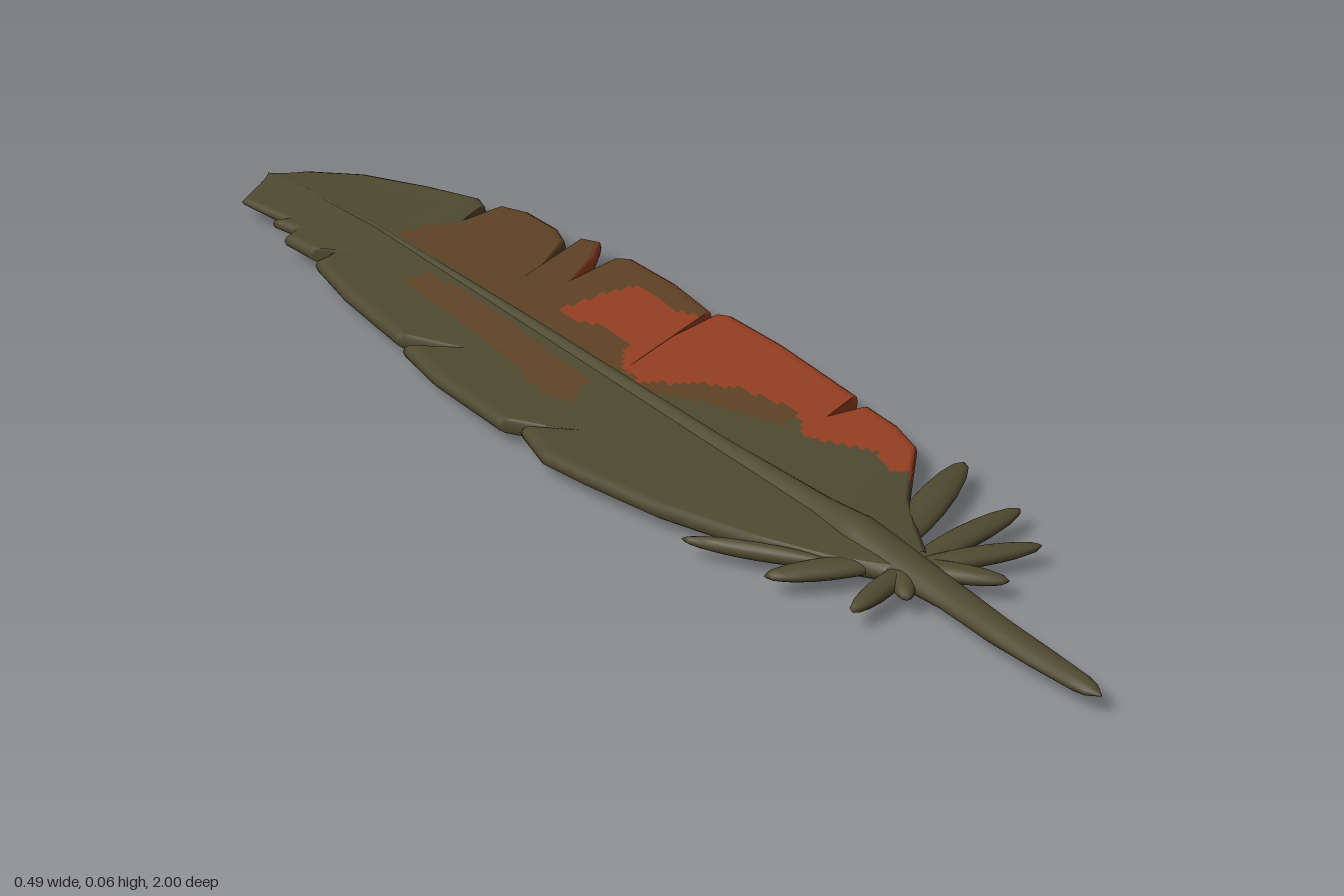
import * as THREE from 'three';

const mat = (name, color) => Object.assign(new THREE.MeshStandardMaterial({ color }), { name });

// Linear lookup in rows [key, a, b, ...] sorted by key
function lookup(rows, k) {
  let i = 1;
  while (i < rows.length - 1 && rows[i][0] < k) i++;
  const [p, q] = [rows[i - 1], rows[i]];
  const t = THREE.MathUtils.clamp((k - p[0]) / (q[0] - p[0]), 0, 1);
  return p.slice(1).map((v, n) => v + (q[n + 1] - v) * t);
}

function inside(poly, x, z) {
  let hit = false;
  for (let i = 0, j = poly.length - 1; i < poly.length; j = i++) {
    const [ax, az] = poly[i], [bx, bz] = poly[j];
    if ((az > z) !== (bz > z) && x < ((bx - ax) * (z - az)) / (bz - az) + ax) hit = !hit;
  }
  return hit;
}

// Shaft: z, centre x, half width, half height
const SHAFT = [
  [-1, -0.03, 0.002, 0.003], [-0.93, -0.02, 0.005, 0.009], [-0.7, -0.015, 0.01, 0.018],
  [-0.3, -0.02, 0.015, 0.022], [0.2, -0.03, 0.019, 0.025], [0.42, -0.03, 0.026, 0.027],
  [0.5, -0.03, 0.035, 0.032], [0.58, -0.032, 0.034, 0.024], [0.7, -0.035, 0.027, 0.016],
  [0.8, -0.043, 0.024, 0.016], [0.88, -0.045, 0.022, 0.013], [0.96, -0.046, 0.017, 0.011],
  [0.99, -0.046, 0.011, 0.007], [1, -0.046, 0.001, 0.001],
];
const MID_Y = 0.035;

// Vane edges from tip to base, with the splits between barbs (x, z)
const RIGHT_EDGE = [
  [-0.03, -1], [0.03, -0.97], [0.095, -0.9], [0.15, -0.79], [0.185, -0.7], [0.175, -0.67],
  [0.12, -0.645], [0.2, -0.65], [0.217, -0.61], [0.217, -0.53], [0.2, -0.487], [0.115, -0.43],
  [0.23, -0.475], [0.243, -0.45], [0.2, -0.41], [0.125, -0.365], [0.23, -0.385], [0.245, -0.37],
  [0.245, -0.26], [0.228, -0.15], [0.14, -0.12], [0.235, -0.135], [0.245, -0.12], [0.245, 0],
  [0.228, 0.195], [0.14, 0.215], [0.22, 0.23], [0.215, 0.3], [0.195, 0.365], [0.14, 0.42],
  [0.09, 0.47], [0.05, 0.53], [0.01, 0.6],
];
const LEFT_EDGE = [
  [-0.03, -1], [-0.12, -0.94], [-0.105, -0.83], [-0.125, -0.84], [-0.115, -0.79],
  [-0.145, -0.775], [-0.14, -0.71], [-0.115, -0.68], [-0.155, -0.67], [-0.18, -0.555],
  [-0.2, -0.38], [-0.155, -0.29], [-0.212, -0.345], [-0.23, -0.24], [-0.235, -0.07],
  [-0.205, -0.02], [-0.13, 0.08], [-0.222, -0.03], [-0.245, 0.05], [-0.235, 0.13],
  [-0.21, 0.265], [-0.16, 0.42], [-0.12, 0.51], [-0.07, 0.6],
];

// Colour patches (x, z)
const ORANGE_TOP = [
  [0.04, -0.29], [0.18, -0.29], [0.19, -0.25], [0.175, -0.18], [0.21, -0.13], [0.3, -0.13],
  [0.3, 0.2], [0.25, 0.36], [0.14, 0.43], [0.11, 0.4], [0.13, 0.35], [0.08, 0.25], [0.12, 0.18],
  [0.1, 0.08], [0.06, 0.03], [-0.01, -0.02], [0, -0.08], [0.06, -0.14], [0.06, -0.2], [0.03, -0.25],
];
const BROWN_TOP = [
  [-0.01, -0.66], [0.05, -0.66], [0.1, -0.63], [0.3, -0.67], [0.3, -0.1], [0.16, 0.1],
  [0.12, 0.2], [0.07, 0.2], [0.03, 0.08], [-0.01, 0.02],
];
const BROWN_STREAK = [
  [-0.09, -0.52], [-0.04, -0.52], [-0.045, -0.3], [-0.06, -0.08], [-0.12, -0.04], [-0.14, -0.08],
  [-0.11, -0.25],
];
const ORANGE_UNDER = [
  [0.3, -0.48], [0.3, 0.3], [0.2, 0.42], [0.12, 0.44], [0.1, 0.3], [0.04, 0.12], [-0.01, 0.02],
  [0, -0.35], [0.1, -0.42],
];
const BROWN_UNDER = [[-0.01, -0.6], [0.1, -0.66], [0.3, -0.67], [0.3, 0], [0.06, 0.2], [-0.01, 0.1]];

function colourAt(x, z, top) {
  if (inside(top ? ORANGE_TOP : ORANGE_UNDER, x, z)) return 1;
  if (inside(top ? BROWN_TOP : BROWN_UNDER, x, z)) return 2;
  return top && inside(BROWN_STREAK, x, z) ? 2 : 0;
}

// One half of the vane: slanting barb rows swept from the shaft to the edge and back underneath
function vane(edge, side, slant, thick) {
  const rows = [];
  let last = -1;
  const knots = edge.map(([x, z], i) => {
    const s = z + slant * Math.abs(x - lookup(SHAFT, z)[0]);
    if (i) last = Math.min(0.6, Math.max(last + 0.001, s));
    return [x, z, last];
  });
  for (let i = 0; i < knots.length - 1; i++) {
    const [p, q] = [knots[i], knots[i + 1]];
    const n = Math.ceil(Math.hypot(q[0] - p[0], q[1] - p[1]) / 0.011);
    for (let k = 0; k < n; k++) rows.push(p.map((v, m) => v + ((q[m] - v) * k) / n));
  }
  rows.push(knots[knots.length - 1]);

  const C = 22, pos = [], groups = [[], [], []];
  const width = 2 * (C + 2) + 1;
  for (const [ex, ez, s] of rows) {
    const rx = lookup(SHAFT, s)[0];
    const round = Math.min(0.3, 0.012 / (Math.hypot(ex - rx, ez - s) + 1e-4));
    for (let j = 0; j < width; j++) {
      const c = Math.min(j, width - 1 - j);
      const u = c <= C ? (c / C) * (1 - round) : c === C + 1 ? 1 - round * 0.3 : 1;
      const shape = c <= C ? 1 : c === C + 1 ? 0.7 : 0;
      const x = rx + (ex - rx) * u, z = s + (ez - s) * u;
      const h = (thick - 0.004 * u) * shape * Math.min(1, 0.4 + (z + 1) * 2);
      pos.push(x, MID_Y - (side > 0 ? 0.002 : 0) + (j <= C + 2 ? h : -h), z);
    }
  }
  for (let i = 0; i < rows.length - 1; i++) {
    for (let j = 0; j < width - 1; j++) {
      const a = i * width + j, b = a + 1, d = a + width, e = d + 1;
      const x = (pos[a * 3] + pos[e * 3]) / 2, z = (pos[a * 3 + 2] + pos[e * 3 + 2]) / 2;
      const g = groups[colourAt(x, z, j < C)];
      if (side > 0) g.push(a, d, e, a, e, b);
      else g.push(a, e, d, a, b, e);
    }
  }
  const geo = new THREE.BufferGeometry();
  geo.setAttribute('position', new THREE.Float32BufferAttribute(pos, 3));
  geo.setIndex(groups.flat());
  let start = 0;
  groups.forEach((g, m) => {
    if (g.length) geo.addGroup(start, g.length, m);
    start += g.length;
  });
  geo.computeVertexNormals();
  return geo;
}

// Shaft and quill: elliptical sections along z
function shaftGeometry() {
  const geo = new THREE.CylinderGeometry(1, 1, 2, 16, 100).rotateX(Math.PI / 2);
  const p = geo.attributes.position;
  for (let i = 0; i < p.count; i++) {
    const z = p.getZ(i);
    const [cx, w, h] = lookup(SHAFT, z);
    p.setXY(i, cx + p.getX(i) * w, MID_Y + p.getY(i) * h);
  }
  geo.computeVertexNormals();
  return geo;
}

// Loose downy barbs: root x, z, tip x, z, width
const BARBS = [
  [-0.03, 0.56, 0.228, 0.43, 0.056], [-0.03, 0.6, 0.2, 0.578, 0.045],
  [-0.04, 0.6, 0.155, 0.672, 0.038], [-0.04, 0.58, 0.055, 0.715, 0.038],
  [-0.1, 0.54, -0.226, 0.352, 0.026], [-0.03, 0.58, -0.2, 0.5, 0.045],
  [-0.02, 0.6, -0.165, 0.643, 0.036], [-0.03, 0.58, -0.085, 0.665, 0.035],
  [-0.03, 0.52, 0.13, 0.49, 0.06],
];

export function createModel() {
  const olive = mat('olive', 0x4f4a30);
  const orange = mat('rust orange', 0x963f22);
  const brown = mat('brown', 0x5f4325);
  const feather = new THREE.Group();
  feather.name = 'feather';
  const add = (name, geo, material) => {
    const mesh = new THREE.Mesh(geo, material);
    mesh.name = name;
    feather.add(mesh);
    return mesh;
  };
  add('leftVane', vane(RIGHT_EDGE, 1, 0.35, 0.019), [olive, orange, brown]);
  add('rightVane', vane(LEFT_EDGE, -1, 1, 0.016), [olive, orange, brown]);
  add('shaft', shaftGeometry(), olive);
  for (const [x0, z0, x1, z1, w] of BARBS) {
    const len = Math.hypot(x1 - x0, z1 - z0);
    const barb = add('downyBarb', new THREE.SphereGeometry(0.5, 16, 10).scale(len, 0.026, w), olive);
    barb.position.set((x0 + x1) / 2, MID_Y, (z0 + z1) / 2);
    barb.rotation.y = -Math.atan2(z1 - z0, x1 - x0);
  }
  return feather;
}
